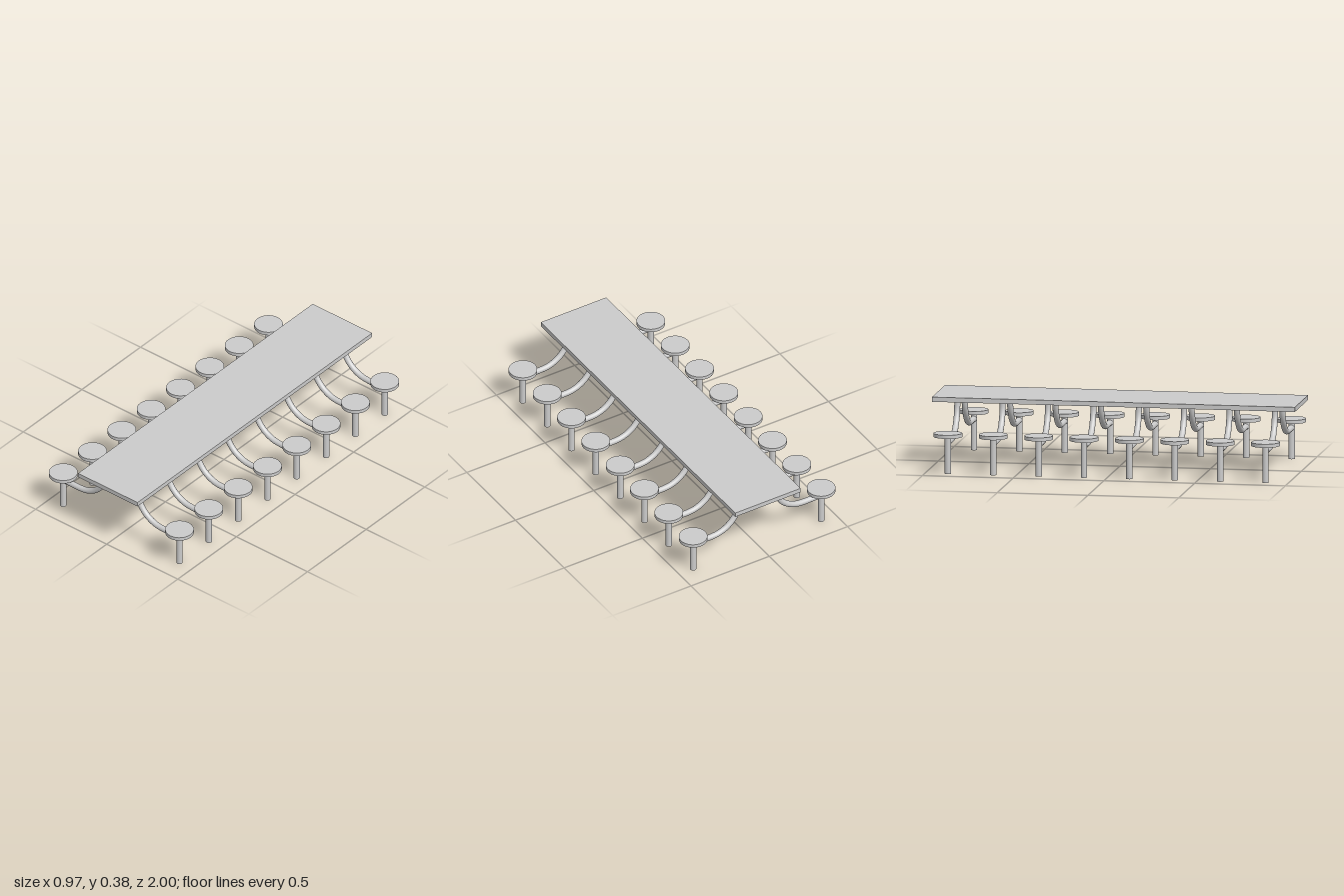
import * as THREE from 'three';

const material = new THREE.MeshStandardMaterial({ color: 0xcccccc });
const ROWS = 8, SPACING = 0.25;
const SEAT_X = 0.409, ARM_Y = 0.172, ARM_TOP_X = 0.114, BEND = 0.176;

function part(name, geometry, x = 0, y = 0, z = 0) {
  const mesh = new THREE.Mesh(geometry, material);
  mesh.name = name;
  mesh.position.set(x, y, z);
  return mesh;
}

// Straight run out of the post, then a quarter bend up to the table underside
function armGeometry(side) {
  const points = [
    new THREE.Vector3(side * (SEAT_X - 0.01), ARM_Y, 0),
    new THREE.Vector3(side * 0.345, ARM_Y, 0),
  ];
  for (let i = 0; i <= 8; i++) {
    const a = (i / 8) * Math.PI / 2;
    points.push(new THREE.Vector3(
      side * (ARM_TOP_X + BEND * (1 - Math.sin(a))),
      ARM_Y + BEND * (1 - Math.cos(a)), 0));
  }
  points.push(new THREE.Vector3(side * ARM_TOP_X, 0.362, 0));
  return new THREE.TubeGeometry(new THREE.CatmullRomCurve3(points), 40, 0.0165, 20);
}

export function createModel() {
  const group = new THREE.Group();
  group.name = 'canteenTable';

  // Table top
  group.add(part('tableTop', new THREE.BoxGeometry(0.418, 0.026, 2), 0.008, 0.371, 0));

  // Shared geometry for the seating units
  const post = new THREE.CylinderGeometry(0.0175, 0.0175, 0.206, 24);
  const seat = new THREE.CylinderGeometry(0.078, 0.078, 0.02, 40);

  // Two mirrored rows of stools, each with its own arm
  for (const side of [-1, 1]) {
    const arm = armGeometry(side);
    for (let i = 0; i < ROWS; i++) {
      const unit = new THREE.Group();
      unit.name = side > 0 ? 'leftStool' : 'rightStool';
      unit.position.z = (i - (ROWS - 1) / 2) * SPACING;
      unit.add(
        part('post', post, side * SEAT_X, 0.103, 0),
        part('seat', seat, side * SEAT_X, 0.213, 0),
        part('supportArm', arm),
      );
      group.add(unit);
    }
  }
  return group;
}
